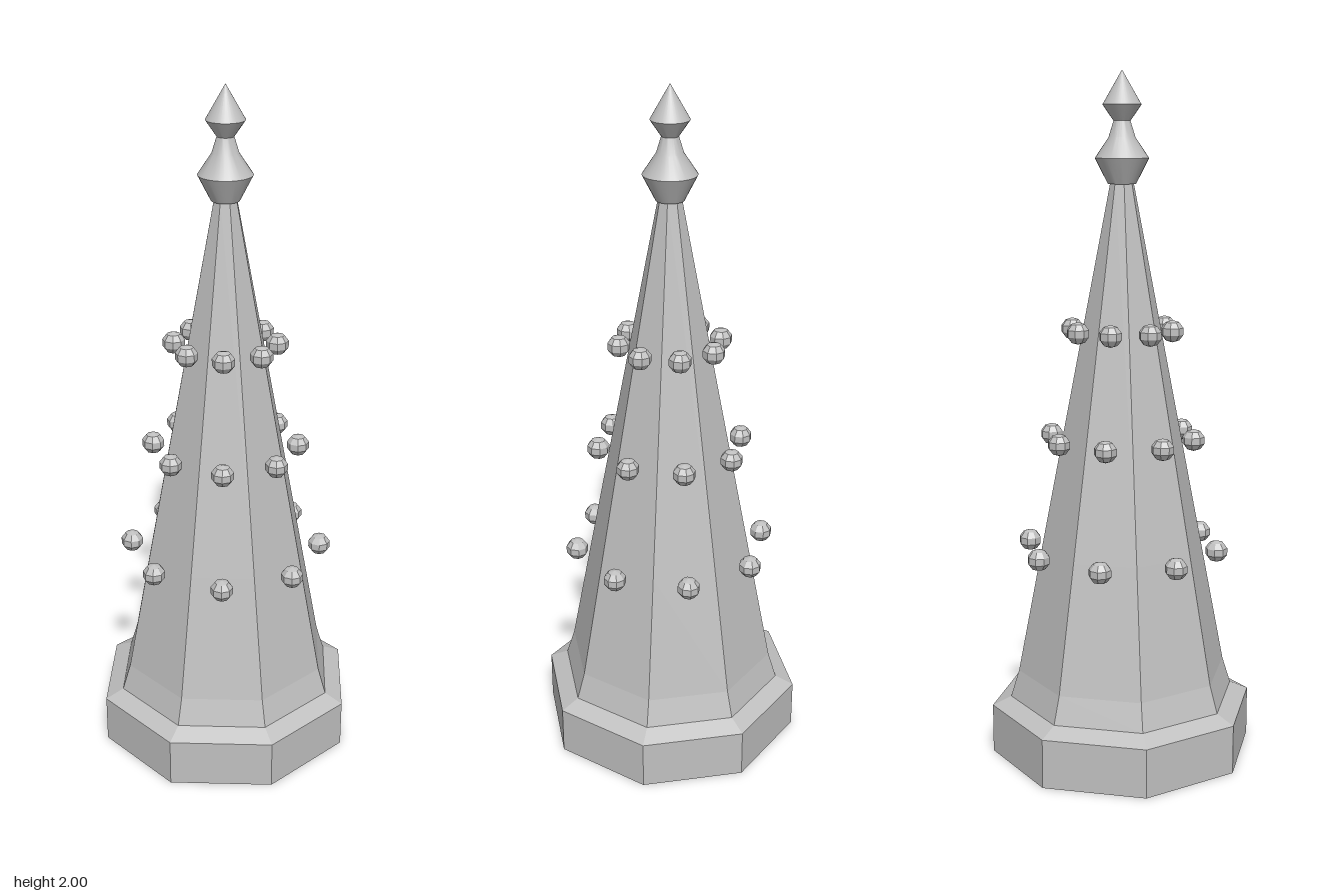
import * as THREE from 'three';
import { toCreasedNormals } from 'three/addons/utils/BufferGeometryUtils.js';

const stone = new THREE.MeshStandardMaterial({ color: 0xc0c0c0 });
stone.name = 'stone';
const facetedStone = stone.clone();
facetedStone.name = 'faceted stone';
facetedStone.flatShading = true;

const toPoints = (profile) => profile.map(([r, y]) => new THREE.Vector2(r, y));

// Eight-sided lathe with flat sides facing the axes; radii are given to the flats
function octagon(name, profile) {
  const k = 1 / Math.cos(Math.PI / 8);
  const points = toPoints(profile.map(([r, y]) => [r * k, y]));
  const mesh = new THREE.Mesh(new THREE.LatheGeometry(points, 8, Math.PI / 8), facetedStone);
  mesh.name = name;
  return mesh;
}

export function createModel() {
  const group = new THREE.Group();
  group.name = 'spire';

  // Plinth with a sloping top
  group.add(octagon('plinth', [[0, 0], [0.363, 0], [0.363, 0.145], [0.312, 0.17], [0, 0.17]]));

  // Tapering shaft with a slight flare at the foot
  group.add(octagon('shaft', [[0.312, 0.17], [0.289, 0.25], [0.222, 0.625], [0.031, 1.69]]));

  // Round finial with two knops and a point
  const finialProfile = [
    [0, 1.685], [0.04, 1.685], [0.077, 1.757], [0.038, 1.815],
    [0.024, 1.86], [0.055, 1.905], [0, 2],
  ];
  const finial = new THREE.Mesh(
    toCreasedNormals(new THREE.LatheGeometry(toPoints(finialProfile), 32), 0.4), stone);
  finial.name = 'finial';
  group.add(finial);

  // Three rings of small knobs, one in front of each face
  const knobGeometry = new THREE.SphereGeometry(0.034, 8, 5);
  knobGeometry.scale(1, 0.95, 1);
  const rings = [[0.284, 0.623], [0.213, 0.953], [0.148, 1.269]];
  rings.forEach(([radius, y], i) => {
    const ring = new THREE.Group();
    ring.name = `knobRing${i + 1}`;
    for (let j = 0; j < 8; j++) {
      const a = (j * Math.PI) / 4;
      const knob = new THREE.Mesh(knobGeometry, facetedStone);
      knob.name = 'knob';
      knob.position.set(Math.sin(a) * radius, y, Math.cos(a) * radius);
      ring.add(knob);
    }
    group.add(ring);
  });

  return group;
}
